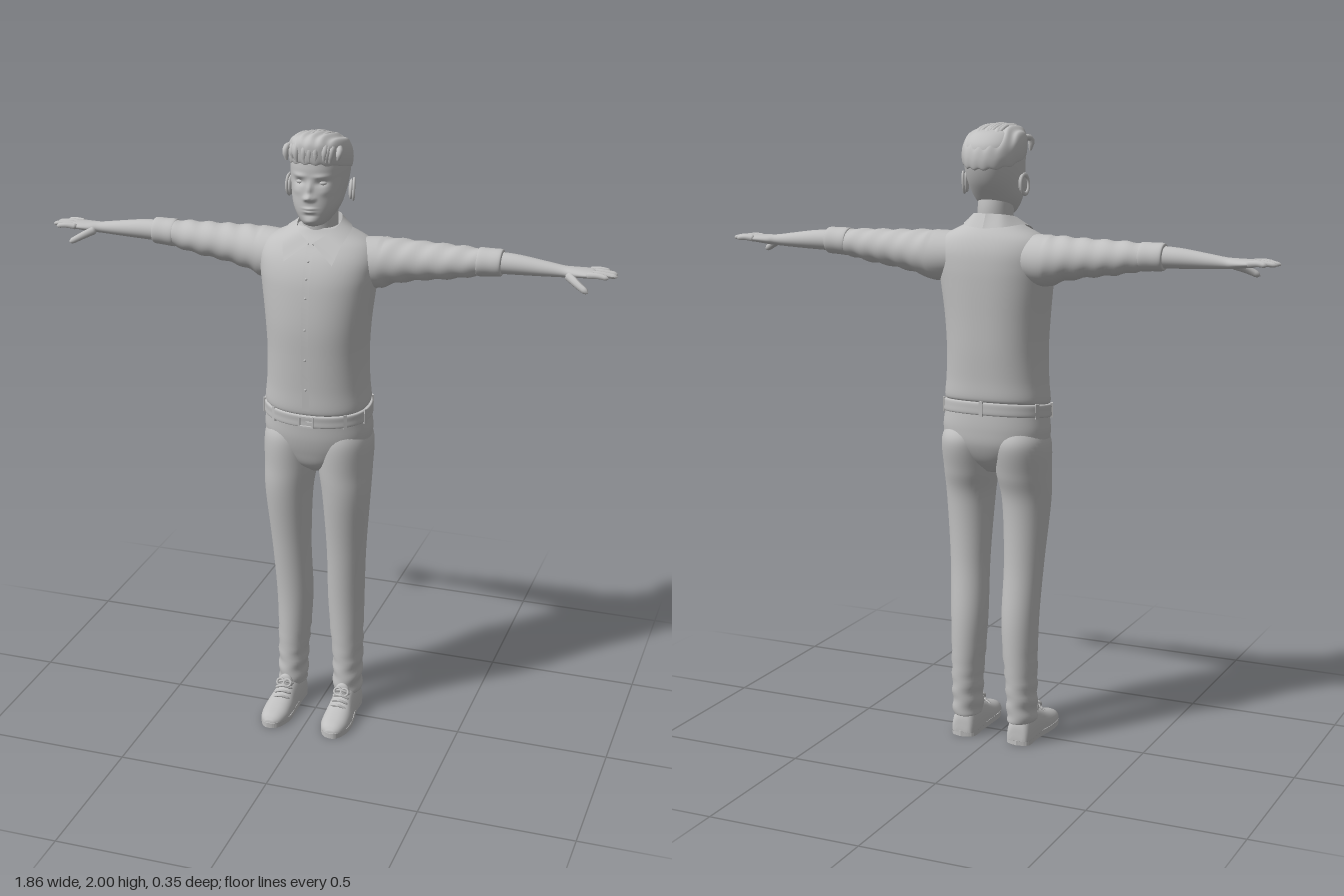
import * as THREE from 'three';
import { mergeVertices } from 'three/addons/utils/BufferGeometryUtils.js';

const V = (x, y, z) => new THREE.Vector3(x, y, z);

// Smooth closed loft along an axis. Rows: [t, centreU, centreV, radiusU, radiusV].
// Axis x: u = y, v = z.  Axis y: u = x, v = z.  Axis z: u = y, v = x.
function loft(axis, rows, { rings = 40, sides = 40, power = 2, warp } = {}) {
  const spline = new THREE.CubicInterpolant(rows.map((r, i) => i), rows.flat(), 5, new Float32Array(5));
  const pos = [], index = [];
  const put = (t, u, v) => {
    const p = axis === 'x' ? V(t, u, v) : axis === 'y' ? V(u, t, v) : V(v, u, t);
    if (warp) warp(p);
    pos.push(p.x, p.y, p.z);
  };
  const bend = (c) => Math.sign(c) * Math.abs(c) ** (2 / power);
  for (let i = 0; i <= rings; i++) {
    const [t, cu, cv, ru, rv] = spline.evaluate((i / rings) * (rows.length - 1));
    for (let j = 0; j < sides; j++) {
      // axis x winds the other way round, so its angle runs backwards
      const a = (axis === 'x' ? -1 : 1) * (j / sides) * Math.PI * 2;
      put(t, cu + ru * bend(Math.cos(a)), cv + rv * bend(Math.sin(a)));
    }
  }
  const first = rows[0], last = rows[rows.length - 1];
  put(first[0], first[1], first[2]);
  put(last[0], last[1], last[2]);
  const c0 = (rings + 1) * sides, top = rings * sides;
  for (let j = 0; j < sides; j++) {
    const k = (j + 1) % sides;
    for (let i = 0; i < rings; i++) {
      const a = i * sides + j, b = i * sides + k;
      index.push(a, a + sides, b, b, a + sides, b + sides);
    }
    index.push(c0, j, k, c0 + 1, top + k, top + j);
  }
  return finish(pos, index);
}

function finish(pos, index) {
  const g = new THREE.BufferGeometry();
  g.setAttribute('position', new THREE.Float32BufferAttribute(pos, 3));
  g.setIndex(index);
  g.computeVertexNormals();
  return g;
}

// Surface stretched between two smooth curves
function ribbon(a, b, steps = 32) {
  const ca = new THREE.CatmullRomCurve3(a), cb = new THREE.CatmullRomCurve3(b);
  const pos = [], index = [];
  for (let i = 0; i <= steps; i++) {
    pos.push(...ca.getPoint(i / steps), ...cb.getPoint(i / steps));
    if (i) index.push(2 * i - 2, 2 * i - 1, 2 * i, 2 * i, 2 * i - 1, 2 * i + 1);
  }
  return finish(pos, index);
}

// Tube with rounded, tapering ends
function lock(points, r, taper = 0.4) {
  const curve = new THREE.CatmullRomCurve3(points), n = 20, m = 10;
  const g = new THREE.TubeGeometry(curve, n, r, m, false), p = g.attributes.position;
  for (let i = 0; i <= n; i++) {
    const c = curve.getPointAt(i / n), t = i / n;
    const k = (1 - taper * t) * Math.min(1, Math.sqrt(1 - t * t) * 2, 0.4 + t * 6);
    for (let j = 0; j <= m; j++) {
      const q = i * (m + 1) + j;
      const v = V().fromBufferAttribute(p, q).sub(c).multiplyScalar(k).add(c);
      p.setXYZ(q, v.x, v.y, v.z);
    }
  }
  g.computeVertexNormals();
  return g;
}

function mirrored(g) {
  const m = g.clone().scale(-1, 1, 1), ix = m.index;
  for (let i = 0; i < ix.count; i += 3) {
    const a = ix.getX(i);
    ix.setX(i, ix.getX(i + 1));
    ix.setX(i + 1, a);
  }
  return m;
}

const ball = (x, y, z, sx, sy, sz) => new THREE.SphereGeometry(1, 24, 16).scale(sx, sy, sz).translate(x, y, z);
const box = (x, y, z, w, h, d) => new THREE.BoxGeometry(w, h, d).translate(x, y, z);

export function createModel() {
  const model = new THREE.Group();
  const grey = new THREE.MeshStandardMaterial({ color: 0xc0c0c0, side: THREE.DoubleSide });
  grey.name = 'plainGrey';
  const add = (name, g) => {
    const mesh = new THREE.Mesh(g, grey);
    mesh.name = name;
    model.add(mesh);
  };
  const pair = (name, g) => { add(name + 'Left', g); add(name + 'Right', mirrored(g)); };
  // The waistline sits higher at the back
  const tilt = (p) => { p.y -= 0.12 * (p.z + 0.03) * THREE.MathUtils.clamp((1.3 - p.y) / 0.17, 0, 1); };

  // Shirt
  add('shirt', loft('y', [
    [1.122, 0, -.03, .16, .115], [1.135, 0, -.03, .171, .127], [1.2, 0, -.03, .165, .129], [1.3, 0, -.03, .162, .134],
    [1.4, 0, -.03, .168, .137], [1.5, 0, -.035, .18, .135], [1.56, 0, -.04, .188, .13], [1.61, 0, -.047, .188, .118],
    [1.65, 0, -.053, .165, .098], [1.68, 0, -.055, .11, .075], [1.7, 0, -.05, .066, .058]],
  { rings: 60, sides: 64, power: 2.3, warp: tilt }));
  pair('sleeve', loft('x', [
    [.08, 1.59, -.055, .07, .08], [.18, 1.585, -.07, .08, .083], [.24, 1.593, -.077, .07, .076], [.32, 1.6, -.08, .06, .065],
    [.42, 1.606, -.081, .052, .057], [.5, 1.613, -.082, .042, .046], [.52, 1.615, -.082, .036, .04]],
  { rings: 50, warp: (p) => { if (p.x > .2) p.y += .0025 * Math.sin(p.x * 95 + p.z * 40); } }));
  pair('rolledCuff', loft('x', [
    [.497, 1.614, -.082, .036, .038], [.501, 1.614, -.082, .044, .047], [.535, 1.615, -.083, .043, .045],
    [.568, 1.616, -.084, .042, .043], [.574, 1.616, -.084, .034, .034]], { rings: 24 }));
  const front = [[1.128, .1], [1.2, .103], [1.3, .108], [1.4, .111], [1.5, .104], [1.56, .094], [1.61, .075], [1.655, .046]];
  add('buttonPlacket', ribbon(front.map(([y, z]) => V(-.012, y, z)), front.map(([y, z]) => V(.012, y, z))));
  for (const [y, z] of front.slice(1, 7)) add('button', ball(0, y, z, .004, .004, .003));
  const collarTop = [V(.006, 1.662, .05), V(.05, 1.692, .02), V(.068, 1.712, -.04), V(.05, 1.724, -.1), V(0, 1.727, -.12)];
  const collarEdge = [V(.078, 1.605, .08), V(.096, 1.662, .035), V(.102, 1.69, -.045), V(.065, 1.688, -.128), V(0, 1.682, -.145)];
  const collarStand = [V(.006, 1.64, .04), V(.048, 1.66, .01), V(.064, 1.67, -.04), V(.046, 1.67, -.095), V(0, 1.67, -.112)];
  pair('collarFlap', ribbon(collarEdge, collarTop));
  pair('collarStand', ribbon(collarTop, collarStand));

  // Forearm, hand and fingers
  pair('forearmAndPalm', loft('x', [
    [.55, 1.616, -.084, .034, .035], [.62, 1.615, -.085, .031, .032], [.7, 1.611, -.085, .024, .026], [.76, 1.608, -.085, .018, .023],
    [.79, 1.608, -.085, .016, .031], [.83, 1.61, -.085, .013, .038], [.853, 1.611, -.085, .011, .036], [.862, 1.611, -.085, .004, .03]]));
  [[-.053, -.045, .905], [-.074, -.071, .928], [-.096, -.097, .924], [-.115, -.122, .898]].forEach(([z0, z1, tip], i) =>
    pair('finger' + (i + 1), lock([V(.835, 1.611, z0), V(.87, 1.614, (z0 + z1) / 2), V(tip, 1.61, z1)], .0105, .3)));
  pair('thumb', lock([V(.775, 1.604, -.068), V(.805, 1.59, -.042), V(.828, 1.578, -.028), V(.85, 1.566, -.02)], .0145, .35));

  // Trousers
  add('trouserSeat', loft('y', [
    [.895, 0, -.035, .03, .05], [.93, 0, -.037, .1, .088], [.98, 0, -.04, .162, .11], [1.03, 0, -.037, .177, .119],
    [1.08, 0, -.034, .173, .121], [1.125, 0, -.03, .165, .12]], { sides: 56, power: 2.2, warp: tilt }));
  pair('trouserLeg', loft('y', [
    [.072, .097, -.055, .038, .052], [.077, .097, -.054, .047, .06], [.12, .097, -.054, .048, .062], [.2, .096, -.057, .05, .063],
    [.4, .09, -.055, .06, .065], [.6, .095, -.036, .065, .066], [.8, .098, -.022, .078, .083], [.9, .092, -.031, .087, .1],
    [1, .089, -.04, .09, .113], [1.06, .085, -.036, .07, .09]],
  { rings: 70, warp: (p) => { if (p.y < .3) p.x += .0025 * Math.sin(p.y * 110 + p.z * 25); } }));

  // Belt, loops and buckle
  add('belt', loft('y', [
    [1.083, 0, -.032, .168, .118], [1.086, 0, -.032, .177, .126], [1.104, 0, -.032, .177, .127],
    [1.122, 0, -.031, .176, .127], [1.125, 0, -.031, .168, .118]], { rings: 20, sides: 56, power: 2.2, warp: tilt }));
  for (const a of [.35, .85, 1.57, 2.29, 2.79, 3.6, 4.712, 5.82]) {
    const x = .178 * Math.cos(a), z = -.032 + .128 * Math.sin(a);
    const g = new THREE.BoxGeometry(.012, .048, .008).rotateY(Math.atan2(Math.cos(a) / .178, Math.sin(a) / .128));
    if (a !== 1.57) add('beltLoop', g.translate(x * 1.01, 1.104 - .12 * (z + .03), z));
  }
  for (const s of [-1, 1]) {
    add('buckleSide', box(s * .022, 1.09, .099, .005, .036, .008));
    add('buckleBar', box(0, 1.09 + s * .016, .099, .044, .005, .008));
  }
  add('bucklePin', box(.01, 1.09, .1, .022, .004, .006));

  // Shoes
  const outline = [[.1, -.108], [.138, -.09], [.14, -.02], [.152, .06], [.152, .12], [.132, .165], [.108, .176],
    [.078, .162], [.056, .11], [.056, .05], [.058, -.03], [.06, -.09]];
  const shape = new THREE.Shape();
  shape.setFromPoints(new THREE.SplineCurve([...outline, outline[0]].map(([x, z]) => new THREE.Vector2(x, z))).getPoints(60));
  pair('sole', mergeVertices(new THREE.ExtrudeGeometry(shape, { depth: .018, bevelEnabled: false }).rotateX(Math.PI / 2).translate(0, .018, 0)));
  pair('shoeUpper', loft('z', [
    [-.106, .015, .099, .012, .02], [-.1, .015, .099, .055, .034], [-.08, .015, .099, .08, .042], [-.03, .015, .099, .088, .043],
    [.02, .015, .101, .074, .043], [.07, .015, .104, .052, .048], [.12, .015, .105, .037, .046], [.155, .015, .106, .026, .034],
    [.172, .015, .107, .01, .014]], { power: 2.3, warp: (p) => { p.y = Math.max(p.y, .014); } }));
  pair('shoeTongue', ball(.101, .093, .018, .025, .03, .012));
  for (let i = 0; i < 4; i++) {
    const y = .104 - i * .011, z = .024 + i * .015;
    pair('lace', lock([V(.072, y - .012, z - .004), V(.102, y, z + .008), V(.132, y - .014, z)], .005, .1));
  }
  pair('laceBow', new THREE.TorusGeometry(.012, .004, 8, 20).rotateX(-.6).translate(.114, .1, .036));
  pair('laceBowInner', new THREE.TorusGeometry(.012, .004, 8, 20).rotateX(-.6).translate(.09, .1, .036));

  // Neck and head, with the face modelled by soft bumps [x, y, width, height, depth]
  add('neck', loft('y', [[1.62, 0, -.045, .06, .06], [1.68, 0, -.047, .056, .058], [1.74, 0, -.045, .055, .062], [1.79, 0, -.04, .055, .06]]));
  const bumps = [[0, 1.808, .011, .01, .017], [0, 1.835, .008, .02, .01], [.013, 1.804, .007, .007, .006], [.035, 1.853, .016, .009, -.009],
    [.035, 1.873, .022, .007, .005], [.045, 1.825, .016, .012, .003], [0, 1.774, .018, .004, .006], [0, 1.764, .015, .004, .006],
    [0, 1.752, .02, .005, -.003], [0, 1.733, .02, .01, .006]];
  const face = (p) => {
    if (p.z < 0) return;
    let d = 0;
    for (const [x, y, w, h, k] of bumps) d += k * Math.exp(-(((Math.abs(p.x) - x) / w) ** 2) - ((p.y - y) / h) ** 2);
    p.z += d * Math.min(1, p.z / .03);
  };
  const skull = [[1.714, .022, .042, -.02], [1.723, .04, .054, -.045], [1.75, .061, .062, -.085], [1.78, .075, .064, -.113],
    [1.82, .083, .063, -.142], [1.86, .088, .06, -.159], [1.9, .09, .06, -.166], [1.94, .086, .05, -.158],
    [1.97, .062, .015, -.125], [1.982, .025, -.03, -.08]];
  const sections = (list) => list.map(([y, rx, f, b]) => [y, 0, (f + b) / 2, rx, (f - b) / 2]);
  add('head', loft('y', sections(skull), { rings: 100, sides: 100, power: 2.15, warp: face }));
  pair('eye', ball(.035, 1.852, .039, .014, .008, .011));
  const ear = (g) => g.rotateY(.3).rotateX(-.15).translate(.096, 1.815, -.055);
  pair('ear', ear(ball(0, 0, 0, .008, .032, .019)));
  pair('earRim', ear(new THREE.TorusGeometry(.018, .0045, 8, 28).scale(1, 1.65, 1).rotateY(Math.PI / 2).translate(.008, 0, 0)));

  // Hair: a ridged cap, lower at the back, with swept-back locks
  add('hairCap', loft('y', sections([[1.884, .084, .045, -.155], [1.89, .092, .06, -.167], [1.92, .096, .065, -.171],
    [1.95, .092, .063, -.163], [1.972, .076, .043, -.138], [1.986, .045, 0, -.1], [1.988, .01, -.04, -.06]]),
  { rings: 50, sides: 100, power: 2.15, warp: (p) => {
    p.y += .2 * (p.z + .05) + .003 * Math.sin(p.x * 190 + 1.5 * Math.sin(p.z * 35));
  } }));
  for (let i = -6; i <= 6; i++) {
    const x = i * .0125, w = .007 * Math.sin(i * 2.4), drop = 6 * x * x, back = 4 * x * x;
    add('hairLock', lock([V(x + w, 1.918 + w * .8, .058 - back), V(x * 1.05 + w, 1.962 - drop * .4, .054 - back), V(x, 1.988 - drop, -.005),
      V(x * .95 - w, 1.978 - drop, -.08), V(x * .8, 1.925 - drop * .4, -.158 + back)], .0105));
  }
  return model;
}
